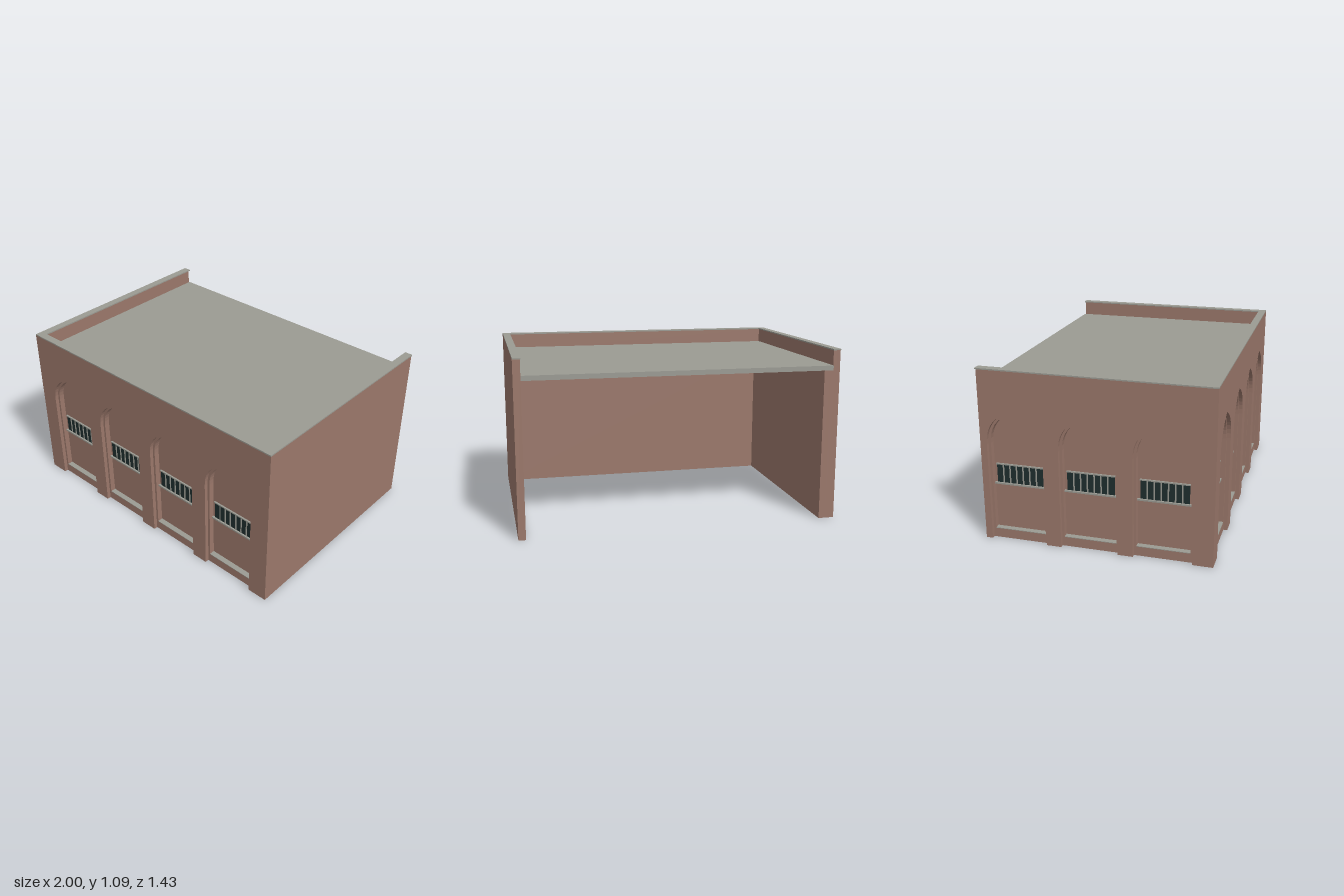
import * as THREE from 'three';

const brick = new THREE.MeshStandardMaterial({ color: 0x9b786b });
brick.name = 'brick';
const concrete = new THREE.MeshStandardMaterial({ color: 0x9b9b93 });
concrete.name = 'concrete';
const glass = new THREE.MeshStandardMaterial({ color: 0x1f2e2e });
glass.name = 'dark glass';

const WALL_TOP = 1.079, ROOF_BOTTOM = 0.955, ROOF_TOP = 0.985;
const DEPTH = 0.1, RECESS = 0.06, STEP = 0.025, PARAPET = 0.045;
const OUTER = 0.178, INNER = 0.163;

// Box given by its minimum and maximum corners
function box(parent, name, material, [x0, y0, z0], [x1, y1, z1]) {
  const mesh = new THREE.Mesh(new THREE.BoxGeometry(x1 - x0, y1 - y0, z1 - z0), material);
  mesh.position.set((x0 + x1) / 2, (y0 + y1) / 2, (z0 + z1) / 2);
  mesh.name = name;
  parent.add(mesh);
  return mesh;
}

// Wall layer with pointed arches cut up from the ground
function archedLayer(parent, name, x0, x1, top, centres, half, zBack, zFront) {
  const s = new THREE.Shape();
  const drop = OUTER - half;
  const spring = 0.62, apex = 0.847 - drop * 1.1;
  s.moveTo(x0, 0);
  for (const c of centres) {
    s.lineTo(c - half, 0);
    s.lineTo(c - half, spring);
    s.bezierCurveTo(c - half, 0.73 - drop * 0.5, c - 0.13 + drop * 0.6, 0.795 - drop, c, apex);
    s.bezierCurveTo(c + 0.13 - drop * 0.6, 0.795 - drop, c + half, 0.73 - drop * 0.5, c + half, spring);
    s.lineTo(c + half, 0);
  }
  s.lineTo(x1, 0);
  s.lineTo(x1, top);
  s.lineTo(x0, top);
  s.closePath();
  const geometry = new THREE.ExtrudeGeometry(s, { depth: zFront - zBack, bevelEnabled: false, curveSegments: 10 });
  const mesh = new THREE.Mesh(geometry, brick);
  mesh.position.z = zBack;
  mesh.name = name;
  parent.add(mesh);
}

// Window strip and plinth that fill one arched bay
function bay(parent, c) {
  const g = new THREE.Group();
  g.name = 'bay';
  g.position.set(c, 0, -RECESS);
  parent.add(g);
  box(g, 'plinth', brick, [-INNER, 0, 0], [INNER, 0.058, 0.035]);
  box(g, 'plinthCap', concrete, [-INNER, 0.058, 0], [INNER, 0.062, 0.035]);
  box(g, 'windowGlass', glass, [-0.147, 0.355, 0], [0.147, 0.48, 0.004]);
  box(g, 'windowSill', concrete, [-INNER, 0.348, 0], [INNER, 0.358, 0.015]);
  box(g, 'windowHead', concrete, [-0.15, 0.474, 0], [0.15, 0.482, 0.01]);
  for (let i = 1; i < 7; i++) {
    const x = -0.147 + (i * 0.294) / 7;
    box(g, 'windowBar', concrete, [x - 0.004, 0.358, 0], [x + 0.004, 0.474, 0.008]);
  }
}

// Complete arched wall, its outer face at z = 0
function facade(name, x0, x1, centres) {
  const g = new THREE.Group();
  g.name = name;
  archedLayer(g, 'outerArches', x0, x1, WALL_TOP, centres, OUTER, -STEP, 0);
  archedLayer(g, 'innerArches', x0, x1, ROOF_BOTTOM, centres, INNER, -RECESS, -STEP);
  box(g, 'backPanel', brick, [x0, 0, -DEPTH], [x1, ROOF_BOTTOM, -RECESS]);
  box(g, 'parapet', brick, [x0, ROOF_BOTTOM, -PARAPET], [x1, WALL_TOP, -STEP]);
  centres.forEach((c) => bay(g, c));
  return g;
}

export function createModel() {
  const model = new THREE.Group();
  model.name = 'openBackedBuilding';
  const Z = 0.713, BACK = -0.705;

  // Front wall with four bays
  const front = facade('frontWall', -1, 1, [-0.697, -0.233, 0.231, 0.695]);
  front.position.z = Z;
  model.add(front);

  // Side wall with three bays
  const side = facade('archedSideWall', BACK, Z - PARAPET, [-0.486, -0.038, 0.41]);
  side.rotation.y = -Math.PI / 2;
  side.position.x = -1;
  model.add(side);

  // Plain thin side wall
  box(model, 'plainSideWall', brick, [1 - PARAPET, 0, BACK], [1, WALL_TOP, Z - PARAPET]);

  // Flat roof between the parapets
  box(model, 'roof', concrete, [-1 + PARAPET, ROOF_BOTTOM, -Z], [1 - PARAPET, ROOF_TOP, Z - PARAPET]);

  // Coping on the three parapets
  const top = 1.087, w = 0.05;
  box(model, 'frontCoping', concrete, [-1, WALL_TOP, Z - w], [1, top, Z]);
  for (const s of [-1, 1]) {
    const m = box(model, 'sideCoping', concrete, [-w / 2, WALL_TOP, -Z], [w / 2, top, Z - w]);
    m.position.x = s * (1 - w / 2);
  }
  return model;
}
